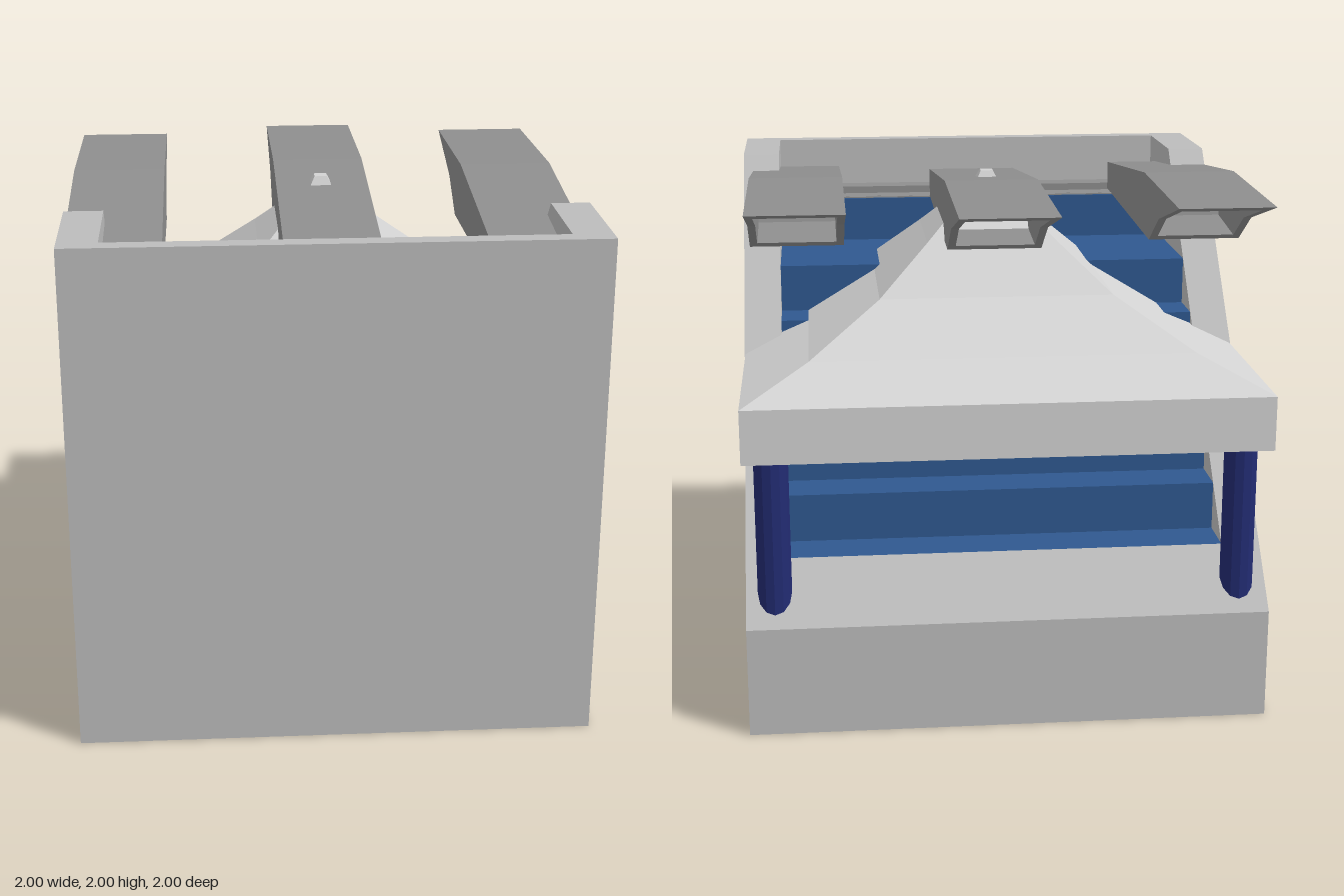
import * as THREE from 'three';

const mat = (name, color, extra = {}) => {
  const m = new THREE.MeshStandardMaterial({ color, flatShading: true, ...extra });
  m.name = name;
  return m;
};

export function createModel() {
  const group = new THREE.Group();
  const wallGrey = mat('wall grey', 0xbcbcbc);
  const roofGrey = mat('roof light grey', 0xd2d2d2);
  const finGrey = mat('fin grey', 0x8e8e8e);
  const stepBlue = mat('step blue', 0x2f588f);
  const poleNavy = mat('pole navy', 0x222b72);

  const add = (name, geometry, material, parent = group) => {
    const mesh = new THREE.Mesh(geometry, material);
    mesh.name = name;
    parent.add(mesh);
    return mesh;
  };

  // Extrudes a [z, y] profile sideways from x0 to x1
  const slab = (points, x0, x1) => {
    const shape = new THREE.Shape(points.map(([z, y]) => new THREE.Vector2(-z, y)));
    const g = new THREE.ExtrudeGeometry(shape, { depth: x1 - x0, bevelEnabled: false });
    return g.rotateY(Math.PI / 2).translate(x0, 0, 0);
  };

  // Side walls with the sloping back edge
  const side = [[1, 0], [1, 2], [0.5, 2], [-1, 0.43], [-1, 0]];
  add('rightWall', slab(side, -1, -0.85), wallGrey);
  add('leftWall', slab(side, 0.85, 1), wallGrey);

  // Base, front wall and low back sill
  add('baseAndFrontWall', slab([
    [1, 0], [1, 2], [0.93, 2], [0.93, 0.5], [-0.8, 0.5], [-0.8, 0.64], [-1, 0.43], [-1, 0],
  ], -0.85, 0.85), wallGrey);

  // Blue staircase climbing to the upper shelf
  const steps = [[0.93, 0.5], [-0.8, 0.5], [-0.8, 0.64]];
  for (let k = 1; k <= 5; k++) {
    const z = -0.8 + 0.182 * k;
    steps.push([z, 0.64 + 0.19 * (k - 1)], [z, 0.64 + 0.19 * k]);
  }
  steps.push([0.66, 1.59], [0.66, 1.775], [0.67, 1.775], [0.67, 1.5], [0.93, 1.5]);
  add('staircase', slab(steps, -0.85, 0.85), stepBlue);

  // Grey gutter behind the front wall, with its middle divider
  add('frontGutter', slab([
    [0.67, 1.5], [0.67, 1.78], [0.69, 1.78], [0.69, 1.74], [0.75, 1.74],
    [0.75, 1.77], [0.83, 1.77], [0.83, 1.8], [0.93, 1.8], [0.93, 1.5],
  ], -0.85, 0.85), finGrey);
  add('gutterDivider', new THREE.BoxGeometry(0.06, 0.08, 0.26).translate(0, 1.8, 0.8), finGrey);

  // Hollow square roof with curved-in slopes and a small peak
  const roofProfile = [
    [0, 1.27], [0.85, 1.27], [0.85, 1.08], [0.997, 1.08], [0.997, 1.29],
    [0.74, 1.4], [0.46, 1.57], [0.26, 1.75], [0.05, 1.95], [0.025, 2], [0, 2],
  ].map(([r, y]) => new THREE.Vector2(r * Math.SQRT2, y));
  add('roof', new THREE.LatheGeometry(roofProfile, 4, Math.PI / 4), roofGrey);

  // Corner poles
  for (const x of [-0.89, 0.89]) {
    for (const z of [-0.895, 0.895]) {
      add('cornerPole', new THREE.CylinderGeometry(0.065, 0.065, 1.12, 12)
        .translate(x, 0.562, z), poleNavy);
    }
  }

  // Scoop fins: two cheeks and a core that is open at the lower rear
  const outline = [[0.67, 1.78], [0.67, 1.9], [-0.27, 2], [-1, 1.98], [-0.6, 1.87], [-0.4, 1.75]];
  const core = [[0.67, 1.78], [0.67, 1.9], [-0.27, 2], [-1, 1.98], [-0.9, 1.952],
    [-0.3, 1.955], [-0.1, 1.94], [-0.15, 1.8], [-0.43, 1.77], [-0.4, 1.75]];
  const fin = (name, x0, x1, dz) => {
    const part = new THREE.Group();
    part.name = name;
    part.position.z = dz;
    add('cheek', slab(outline, x0, x0 + 0.03), finGrey, part);
    add('cheek', slab(outline, x1 - 0.03, x1), finGrey, part);
    add('core', slab(core, x0 + 0.03, x1 - 0.03), finGrey, part);
    group.add(part);
  };
  fin('middleFin', -0.18, 0.19, 0);
  fin('rightFin', -0.997, -0.63, 0.13);
  fin('leftFin', 0.59, 0.96, 0.13);

  return group;
}
